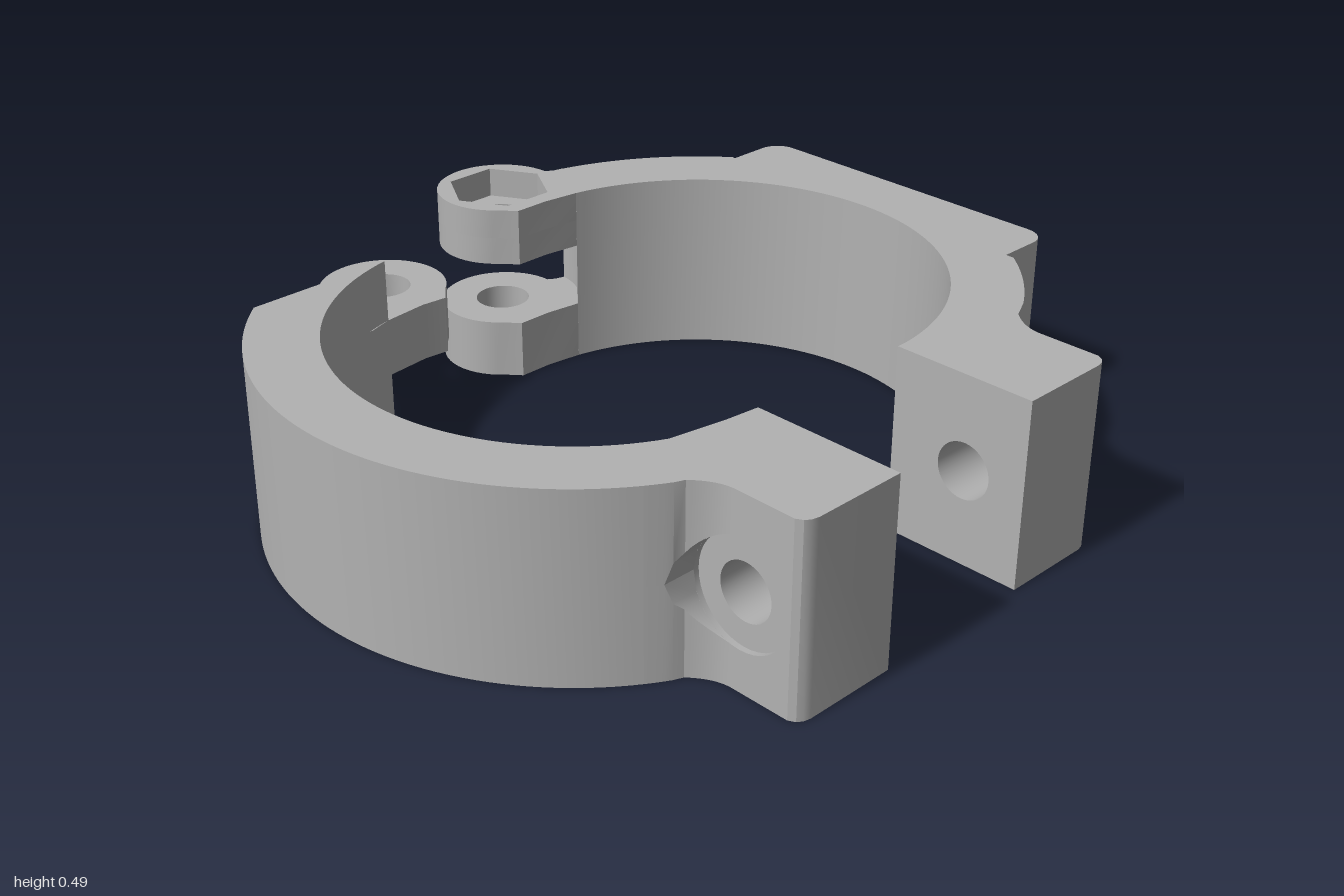
import * as THREE from 'three';
import { toCreasedNormals } from 'three/addons/utils/BufferGeometryUtils.js';

// Both halves are drawn in (x, w), where w is the distance forward from the split plane;
// the back half is then mirrored to negative z.
const H = 0.49, MID = H / 2;
const CX = -0.02, CW = 0.205, R_OUT = 0.79, R_IN = 0.612;
const PIN = [-0.8, 0.205], PIN_R = 0.168, BOLT_R = 0.073;
const BOLT_X = 0.8, EAR_IN = 0.225, EAR_OUT = 0.515, EAR_X = 0.64;
const BORE_R = 0.137, NUT_R = 0.14;

const rad = (d) => d * Math.PI / 180;

function arc(cx, cy, r, a0, a1, n) {
  return Array.from({ length: n + 1 }, (_, i) => {
    const a = a0 + (a1 - a0) * i / n;
    return [cx + r * Math.cos(a), cy + r * Math.sin(a)];
  });
}
const circle = (cx, cy, r) => arc(cx, cy, r, 0, Math.PI * 2, 40).slice(0, -1);
const hexagon = (cx, cy, r) => arc(cx, cy, r, rad(30), rad(390), 6).slice(0, -1);
const rect = (x0, y0, x1, y1) => [[x0, y0], [x1, y0], [x1, y1], [x0, y1]];
// arc of the clamp ring between two x positions
const ringArc = (r, x0, x1, n) =>
  arc(CX, CW, r, Math.acos((x0 - CX) / r), Math.acos((x1 - CX) / r), n);

function extrude(points, holes, depth) {
  const toV = (list) => list.map(([x, y]) => new THREE.Vector2(x, y));
  const shape = new THREE.Shape(toV(points));
  for (const h of holes) shape.holes.push(new THREE.Path(toV(h)));
  return new THREE.ExtrudeGeometry(shape, { depth, bevelEnabled: false });
}
// outline in plan, raised from y0 to y1
const plan = (points, y0, y1, holes = []) =>
  extrude(points, holes, y1 - y0).rotateX(Math.PI / 2).translate(0, y1, 0);
// outline in elevation, running from w0 to w1
const plate = (points, w0, w1, holes = []) =>
  extrude(points, holes, w1 - w0).translate(0, 0, w0);

// outer contour where the ring blends into the ear
function blendW(x) {
  return x < 0.675
    ? CW + Math.sqrt(R_OUT ** 2 - (x - CX) ** 2)
    : EAR_OUT + 0.053 * ((0.78 - x) / 0.105) ** 2;
}

// fillet above or below the bolt pocket, lofted along x
function fillet(pocketStart, pocketHalf, upper) {
  const cols = [[EAR_X, 0], [0.652, 0], [pocketStart, 0]];
  for (let i = 0; i <= 12; i++) {
    const x = pocketStart + (0.78 - pocketStart) * i / 12;
    cols.push([x, pocketHalf(x)]);
  }
  const sections = cols.map(([x, h]) => {
    const lo = upper ? MID + h : 0, hi = upper ? H : MID - h, out = blendW(x);
    return [[x, lo, EAR_OUT], [x, hi, EAR_OUT], [x, hi, out], [x, lo, out]];
  });
  const pos = [];
  for (let s = 0; s + 1 < sections.length; s++) {
    const a = sections[s], b = sections[s + 1];
    for (let i = 0; i < 4; i++) {
      const j = (i + 1) % 4;
      pos.push(...a[i], ...a[j], ...b[i], ...b[i], ...a[j], ...b[j]);
    }
  }
  const g = new THREE.BufferGeometry();
  g.setAttribute('position', new THREE.Float32BufferAttribute(pos, 3));
  return g;
}

function mirrorZ(g) {
  const p = g.attributes.position;
  const v = [0, 1, 2].map(() => new THREE.Vector3());
  for (let i = 0; i < p.count; i += 3) {
    v.forEach((q, k) => q.fromBufferAttribute(p, i + k));
    [v[0], v[2], v[1]].forEach((q, k) => p.setXYZ(i + k, q.x, q.y, -q.z));
  }
  return g;
}

export function createModel() {
  const model = new THREE.Group();
  model.name = 'hingedPipeClamp';
  const grey = new THREE.MeshStandardMaterial({ color: 0xb2b2b2 });
  grey.name = 'grey plastic';

  function half(name, mirrored) {
    const group = new THREE.Group();
    group.name = name;
    model.add(group);
    return (part, geometry) => {
      let g = geometry.index ? geometry.toNonIndexed() : geometry;
      g.deleteAttribute('uv');
      if (mirrored) g = mirrorZ(g);
      g.deleteAttribute('normal');
      g.computeVertexNormals();
      const mesh = new THREE.Mesh(toCreasedNormals(g, 0.45), grey);
      mesh.name = part;
      group.add(mesh);
    };
  }

  // bolt ear: block with stepped bolt hole, rounded end and fillets to the ring
  function addEar(add, pocket, floorW, pocketStart, pocketHalf) {
    const face = rect(EAR_X, 0, 0.94, H);
    add('earBlock', plate(face, EAR_IN, floorW, [circle(BOLT_X, MID, BOLT_R)]));
    add('earPocket', plate(face, floorW, EAR_OUT, [pocket]));
    add('earEnd', plan([[0.94, EAR_IN], [0.97, EAR_IN], [0.97, 0.475],
      [0.966, 0.493], [0.957, 0.506], [0.94, EAR_OUT]], 0, H));
    add('earFilletTop', fillet(pocketStart, pocketHalf, true));
    add('earFilletBottom', fillet(pocketStart, pocketHalf, false));
  }

  // ---- front half ----
  const front = half('frontHalf', false);
  front('frontRing', plan([
    ...ringArc(R_OUT, -0.62, EAR_X, 48),
    [EAR_X, EAR_IN], [0.57, EAR_IN], [0.56, 0.32],
    ...ringArc(R_IN, 0.535, -0.62, 56),
  ], 0, H));
  addEar(front, circle(BOLT_X, MID, BORE_R), 0.5, BOLT_X - BORE_R,
    (x) => Math.sqrt(Math.max(0, BORE_R ** 2 - (x - BOLT_X) ** 2)));
  // single middle knuckle with its arm
  front('frontKnuckle', plan([
    [-0.6, 0.44], [-0.69, 0.44], [-0.715, 0.433], [-0.732, 0.415], [-0.742, 0.39],
    [-0.755, 0.378],
    ...arc(...PIN, PIN_R, rad(90), rad(320), 32),
    [-0.625, 0.135], [-0.632, 0.205], [-0.62, 0.326], [-0.6, 0.39],
  ], 0.17, 0.325, [circle(...PIN, BOLT_R)]));

  // ---- back half ----
  const back = half('backHalf', true);
  const PAD_IN = 0.82, SLOT_OUT = 0.92, PAD_L = -0.5, PAD_R = 0.447, ROUND = 0.06;
  back('backRing', plan([
    ...ringArc(R_OUT, -0.78, -0.51, 16),
    ...ringArc(R_OUT, 0.47, EAR_X, 12),
    [EAR_X, EAR_IN], [0.59, EAR_IN],
    ...ringArc(R_IN, 0.59, -0.62, 60),
    ...arc(...PIN, 0.215, rad(34), rad(85), 12),
  ], 0, H));
  addEar(back, hexagon(BOLT_X, MID, NUT_R), 0.4, BOLT_X - NUT_R * Math.cos(rad(30)),
    (x) => NUT_R - Math.abs(x - BOLT_X) * Math.tan(rad(30)));

  // mounting pad: inner layer with nut slots open below, outer layer with screw holes
  const screws = [CX - 0.3, CX + 0.3];
  const slotted = [[PAD_L, 0]];
  for (const x of screws) {
    slotted.push([x - 0.125, 0], [x - 0.125, 0.37], [x + 0.125, 0.37], [x + 0.125, 0]);
  }
  slotted.push([PAD_R, 0], [PAD_R, H], [PAD_L, H]);
  back('padNutLayer', plate(slotted, PAD_IN, SLOT_OUT));
  back('padFace', plate(rect(PAD_L + ROUND, 0, PAD_R - ROUND, H), SLOT_OUT, 1,
    screws.map((x) => circle(x, MID, BOLT_R))));
  back('padEndRight', plan([[PAD_L + ROUND, SLOT_OUT],
    ...arc(PAD_L + ROUND, 1 - ROUND, ROUND, rad(90), rad(180), 8), [PAD_L, SLOT_OUT]], 0, H));
  back('padEndLeft', plan([[PAD_R - ROUND, SLOT_OUT], [PAD_R, SLOT_OUT],
    ...arc(PAD_R - ROUND, 1 - ROUND, ROUND, 0, rad(90), 8)], 0, H));

  // paired knuckles, the upper one with a hexagonal recess
  const knuckle = [
    [-0.78, 0.425], [-0.787, 0.394],
    ...arc(...PIN, PIN_R, rad(90), rad(320), 32),
    [-0.633, 0.13], [-0.633, 0.225], [-0.62, 0.326], [-0.62, 0.4],
  ];
  const pinHole = [circle(...PIN, BOLT_R)];
  back('lowerKnuckle', plan(knuckle, 0, 0.16, pinHole));
  back('upperKnuckle', plan(knuckle, 0.335, 0.41, pinHole));
  back('upperKnuckleRecess', plan(knuckle, 0.41, H, [hexagon(...PIN, 0.14)]));

  return model;
}
